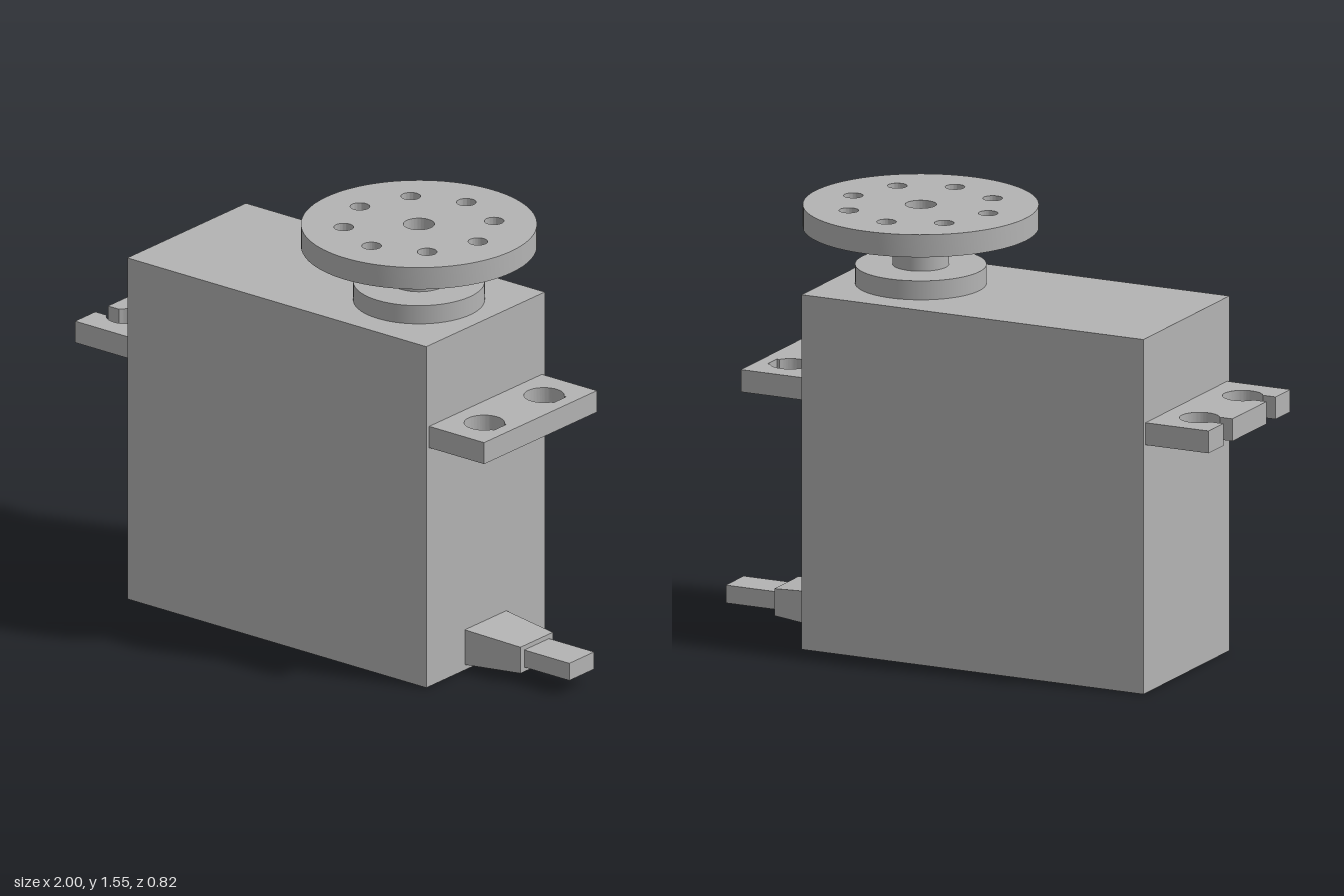
import * as THREE from 'three';
import { toCreasedNormals } from 'three/addons/utils/BufferGeometryUtils.js';

export function createModel() {
  const model = new THREE.Group();
  model.name = 'servoMotor';
  const grey = new THREE.MeshStandardMaterial({ color: 0xb3b3b3 });
  grey.name = 'grey plastic';

  const add = (name, geometry, x = 0, y = 0, z = 0) => {
    const mesh = new THREE.Mesh(geometry, grey);
    mesh.name = name;
    mesh.position.set(x, y, z);
    model.add(mesh);
    return mesh;
  };

  // Box given by its x and y ranges, centred on z
  const addBox = (name, x0, x1, y0, y1, depth) =>
    add(name, new THREE.BoxGeometry(x1 - x0, y1 - y0, depth), (x0 + x1) / 2, (y0 + y1) / 2);

  // Horizontal plate: the outline lies in plan, extruded upwards from y0
  const addPlate = (name, shape, x, y0, y1) => {
    const geometry = new THREE.ExtrudeGeometry(shape, { depth: y1 - y0, bevelEnabled: false, curveSegments: 48 });
    geometry.rotateX(-Math.PI / 2);
    add(name, toCreasedNormals(geometry, Math.PI / 5), x, y0);
  };

  const left = -0.755, right = 0.573;
  addBox('body', left, right, 0, 1.272, 0.656);

  // Mounting tabs
  const tabHalf = 0.312, holeZ = 0.165, holeR = 0.07, slot = 0.035;
  const slotAngle = Math.asin(slot / holeR);

  // Open slots lead from the outer edge into the round holes
  const slotted = new THREE.Shape();
  slotted.moveTo(-1, -tabHalf);
  slotted.lineTo(left, -tabHalf);
  slotted.lineTo(left, tabHalf);
  slotted.lineTo(-1, tabHalf);
  for (const z of [holeZ, -holeZ]) {
    slotted.lineTo(-1, z + slot);
    slotted.absarc(-0.89, z, holeR, Math.PI - slotAngle, slotAngle - Math.PI, true);
    slotted.lineTo(-1, z - slot);
  }
  slotted.closePath();
  addPlate('slottedTab', slotted, 0, 0.89, 0.97);

  // Closed holes with a short squared notch
  const closed = new THREE.Shape();
  closed.moveTo(right, -tabHalf);
  closed.lineTo(0.817, -tabHalf);
  closed.lineTo(0.817, tabHalf);
  closed.lineTo(right, tabHalf);
  closed.closePath();
  for (const z of [holeZ, -holeZ]) {
    const hole = new THREE.Path();
    hole.absarc(0.7, z, holeR, slotAngle, Math.PI * 2 - slotAngle, false);
    hole.lineTo(0.77, z - slot);
    hole.lineTo(0.77, z + slot);
    hole.closePath();
    closed.holes.push(hole);
  }
  addPlate('closedTab', closed, 0, 0.89, 0.97);

  // Output shaft, stacked upwards
  const axisX = 0.277;
  for (const [name, radius, y0, y1] of [
    ['shaftBase', 0.228, 1.272, 1.34],
    ['shaft', 0.098, 1.34, 1.425],
    ['shaftCollar', 0.146, 1.425, 1.473],
  ]) {
    add(name, new THREE.CylinderGeometry(radius, radius, y1 - y0, 64), axisX, (y0 + y1) / 2);
  }

  // Round horn with a centre hole and a ring of eight holes
  const disc = new THREE.Shape();
  disc.absarc(0, 0, 0.409, 0, Math.PI * 2, false);
  const drill = (x, y, r) => disc.holes.push(new THREE.Path().absarc(x, y, r, 0, Math.PI * 2, true));
  drill(0, 0, 0.054);
  for (let i = 0; i < 8; i++) {
    const a = (i * Math.PI) / 4;
    drill(0.262 * Math.cos(a), 0.262 * Math.sin(a), 0.034);
  }
  addPlate('hornDisc', disc, axisX, 1.473, 1.554);

  // Tapered strain relief and cable
  const relief = new THREE.BoxGeometry(0.227, 0.13, 0.23);
  const p = relief.attributes.position;
  for (let i = 0; i < p.count; i++) {
    if (p.getX(i) > 0) p.setXYZ(i, p.getX(i), p.getY(i) * 0.75, p.getZ(i) * 0.78);
  }
  relief.computeVertexNormals();
  add('strainRelief', relief, 0.6865, 0.085);
  addBox('cable', 0.8, 1, 0.053, 0.117, 0.137);

  return model;
}
